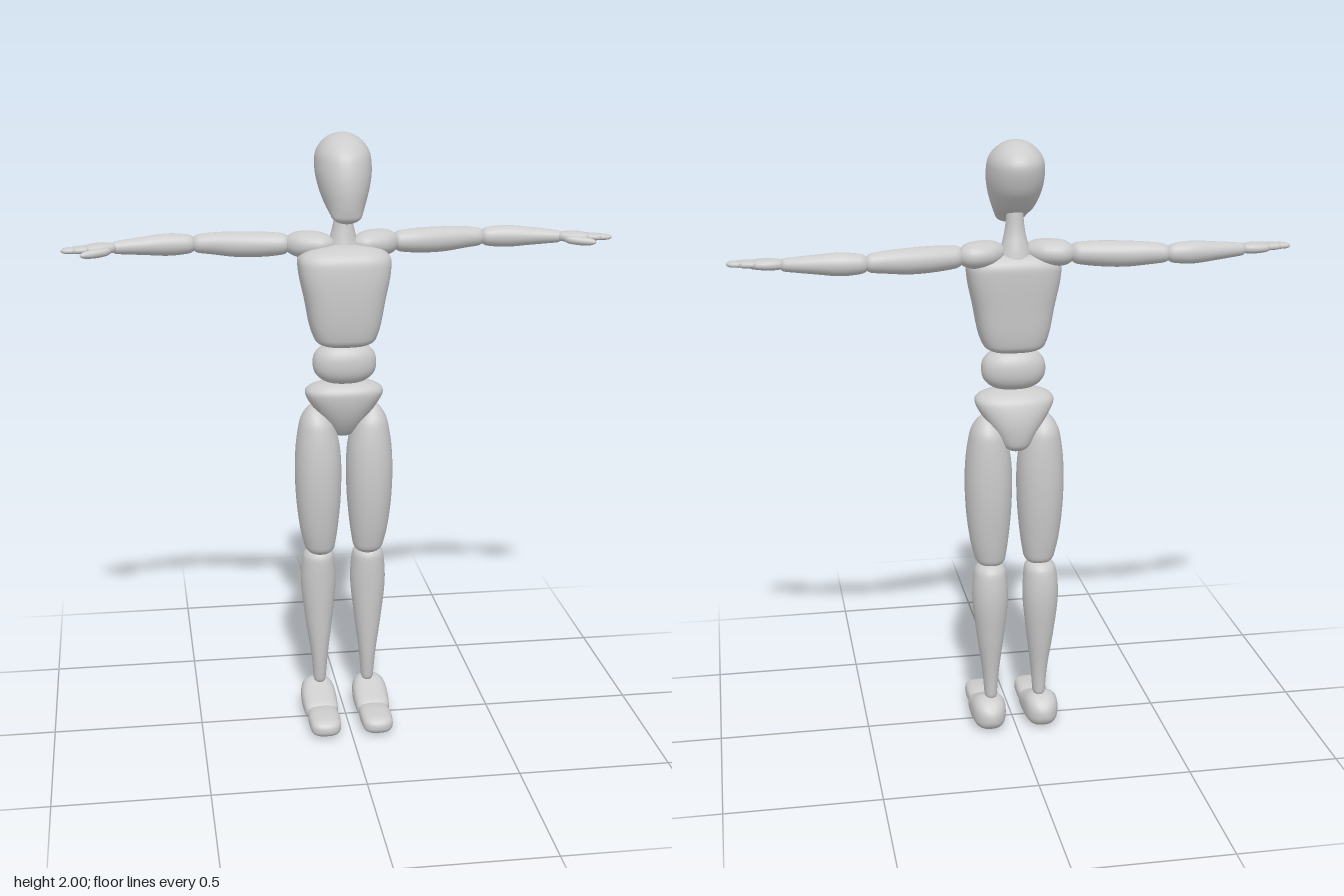
import * as THREE from 'three';

const material = new THREE.MeshStandardMaterial({ color: 0xcccccc });
const AXES = { x: [0, 1, 2], y: [1, 2, 0], z: [2, 0, 1] };

// Smooth solid along an axis with domed ends. Each section is
// [position, aMin, aMax, bMin, bMax], where a and b are the next two axes in x-y-z order.
function limb(axis, sections, { caps = [0.05, 0.05], n = 2, dome = 2, rows = 32, cols = 32 } = {}) {
  const [k, ka, kb] = AXES[axis];
  const spline = new THREE.CubicInterpolant(
    sections.map(s => s[0]), sections.flatMap(s => s.slice(1)), 4, new Float32Array(4));
  const start = sections[0][0], end = sections[sections.length - 1][0];
  const round = d => d >= 1 ? 1 : Math.pow(Math.max(0, 1 - Math.pow(1 - d, dome)), 1 / dome);
  const bend = c => Math.sign(c) * Math.pow(Math.abs(c), 2 / n);
  const positions = [], index = [];
  for (let i = 0; i <= rows; i++) {
    const t = start + (end - start) * (1 - Math.cos(Math.PI * i / rows)) / 2;
    const [a0, a1, b0, b1] = spline.evaluate(t);
    const f = round((t - start) / caps[0]) * round((end - t) / caps[1]);
    for (let j = 0; j < cols; j++) {
      const angle = j / cols * Math.PI * 2, p = [0, 0, 0];
      p[k] = t;
      p[ka] = (a0 + a1) / 2 + (a1 - a0) / 2 * f * bend(Math.cos(angle));
      p[kb] = (b0 + b1) / 2 + (b1 - b0) / 2 * f * bend(Math.sin(angle));
      positions.push(...p);
      if (i < rows) {
        const a = i * cols + j, b = i * cols + (j + 1) % cols;
        index.push(a, b, b + cols, a, b + cols, a + cols);
      }
    }
  }
  const geometry = new THREE.BufferGeometry();
  geometry.setAttribute('position', new THREE.Float32BufferAttribute(positions, 3));
  geometry.setIndex(index);
  geometry.computeVertexNormals();
  return geometry;
}

// Reflects a geometry across x = 0 and restores its winding.
function mirrored(source) {
  const geometry = source.clone();
  geometry.scale(-1, 1, 1);
  geometry.setIndex(Array.from(source.index.array).reverse());
  geometry.computeVertexNormals();
  return geometry;
}

export function createModel() {
  const model = new THREE.Group();
  const add = (name, geometry) => {
    const mesh = new THREE.Mesh(geometry, material);
    mesh.name = name;
    model.add(mesh);
  };
  const pair = (name, geometry) => {
    add('left' + name, geometry);
    add('right' + name, mirrored(geometry));
  };

  // Head: egg shape leaning back from the chin
  add('head', limb('y', [
    [1.725, 0.015, 0.06, -0.04, 0.04],
    [1.75, -0.02, 0.067, -0.05, 0.05],
    [1.78, -0.095, 0.073, -0.064, 0.064],
    [1.83, -0.155, 0.076, -0.081, 0.081],
    [1.88, -0.182, 0.07, -0.09, 0.09],
    [1.93, -0.192, 0.055, -0.089, 0.089],
    [2.0, -0.178, 0.025, -0.083, 0.083],
  ], { caps: [0.02, 0.08], n: 2.1, rows: 40 }));

  // Neck
  add('neck', limb('y', [
    [1.62, -0.115, 0.0, -0.06, 0.06],
    [1.66, -0.105, -0.01, -0.046, 0.046],
    [1.71, -0.09, -0.02, -0.033, 0.033],
    [1.8, -0.08, -0.03, -0.024, 0.024],
  ], { caps: [0.01, 0.02] }));

  // Trunk
  add('chest', limb('y', [
    [1.315, -0.1, 0.05, -0.088, 0.088],
    [1.37, -0.113, 0.064, -0.11, 0.11],
    [1.47, -0.123, 0.074, -0.13, 0.13],
    [1.56, -0.13, 0.073, -0.148, 0.148],
    [1.65, -0.132, 0.06, -0.153, 0.153],
  ], { caps: [0.03, 0.06], n: 3.2, dome: 2.4, rows: 40, cols: 48 }));
  add('abdomen', limb('y', [
    [1.19, -0.09, 0.038, -0.1, 0.1],
    [1.26, -0.096, 0.042, -0.105, 0.105],
    [1.33, -0.09, 0.038, -0.1, 0.1],
  ], { caps: [0.07, 0.07], n: 2.2, dome: 2.6 }));
  add('pelvis', limb('y', [
    [0.995, -0.12, -0.035, -0.035, 0.035],
    [1.05, -0.132, 0.005, -0.067, 0.067],
    [1.1, -0.133, 0.028, -0.1, 0.1],
    [1.15, -0.122, 0.038, -0.128, 0.128],
    [1.2, -0.1, 0.036, -0.13, 0.13],
  ], { caps: [0.03, 0.045], n: 2.4, dome: 2.3 }));

  // Legs
  pair('Thigh', limb('y', [
    [0.585, -0.1, 0.005, 0.037, 0.125],
    [0.68, -0.118, 0.027, 0.022, 0.148],
    [0.83, -0.134, 0.044, 0.01, 0.163],
    [0.97, -0.134, 0.039, 0.014, 0.16],
    [1.06, -0.125, 0.022, 0.035, 0.146],
    [1.115, -0.11, 0.005, 0.055, 0.135],
  ], { caps: [0.03, 0.07], n: 2.2, rows: 40 }));
  pair('Shin', limb('y', [
    [0.1, -0.085, -0.03, 0.064, 0.103],
    [0.2, -0.094, -0.018, 0.056, 0.111],
    [0.35, -0.118, -0.007, 0.038, 0.132],
    [0.48, -0.132, -0.001, 0.026, 0.145],
    [0.56, -0.126, 0.0, 0.03, 0.14],
    [0.61, -0.112, -0.003, 0.037, 0.13],
  ], { caps: [0.02, 0.035], n: 2.1, rows: 40 }));
  pair('Foot', limb('z', [
    [-0.135, 0.045, 0.135, 0.005, 0.095],
    [-0.06, 0.032, 0.149, 0.0, 0.115],
    [0.0, 0.03, 0.15, 0.004, 0.092],
    [0.075, 0.035, 0.143, 0.008, 0.062],
  ], { caps: [0.055, 0.035], n: 2.6, dome: 2.3 }));
  pair('Toes', limb('z', [
    [0.035, 0.04, 0.135, 0.008, 0.06],
    [0.1, 0.035, 0.142, 0.006, 0.07],
    [0.195, 0.04, 0.138, 0.006, 0.062],
  ], { caps: [0.03, 0.04], n: 2.7, dome: 2.4 }));

  // Arms, held straight out and bent slightly at the elbows
  pair('Shoulder', limb('x', [
    [0.025, 1.615, 1.68, -0.1, 0.005],
    [0.11, 1.602, 1.687, -0.135, -0.008],
    [0.19, 1.607, 1.68, -0.135, -0.045],
  ], { caps: [0.06, 0.05], n: 2.1 }));
  pair('UpperArm', limb('x', [
    [0.165, 1.612, 1.676, -0.126, -0.055],
    [0.25, 1.602, 1.682, -0.147, -0.06],
    [0.34, 1.6, 1.682, -0.163, -0.079],
    [0.42, 1.608, 1.678, -0.17, -0.1],
    [0.485, 1.615, 1.669, -0.17, -0.113],
  ], { caps: [0.03, 0.025] }));
  pair('Forearm', limb('x', [
    [0.465, 1.614, 1.669, -0.17, -0.115],
    [0.55, 1.606, 1.678, -0.175, -0.105],
    [0.64, 1.613, 1.671, -0.16, -0.097],
    [0.74, 1.622, 1.66, -0.133, -0.09],
  ], { caps: [0.03, 0.015] }));

  // Hands
  pair('Palm', limb('x', [
    [0.72, 1.628, 1.656, -0.127, -0.087],
    [0.77, 1.625, 1.66, -0.138, -0.066],
    [0.825, 1.629, 1.656, -0.13, -0.056],
  ], { caps: [0.02, 0.02], n: 2.4, rows: 20 }));
  pair('FingerBases', limb('x', [
    [0.805, 1.631, 1.655, -0.125, -0.056],
    [0.865, 1.632, 1.653, -0.112, -0.053],
  ], { caps: [0.015, 0.015], n: 2.6, rows: 16 }));
  pair('FingerTips', limb('x', [
    [0.85, 1.632, 1.653, -0.108, -0.054],
    [0.9, 1.634, 1.65, -0.1, -0.056],
  ], { caps: [0.012, 0.02], n: 2.6, rows: 16 }));
  pair('Thumb', limb('x', [
    [0.74, 1.624, 1.65, -0.095, -0.07],
    [0.79, 1.618, 1.646, -0.082, -0.05],
    [0.84, 1.62, 1.641, -0.058, -0.033],
  ], { caps: [0.02, 0.025], rows: 16, cols: 20 }));

  return model;
}
